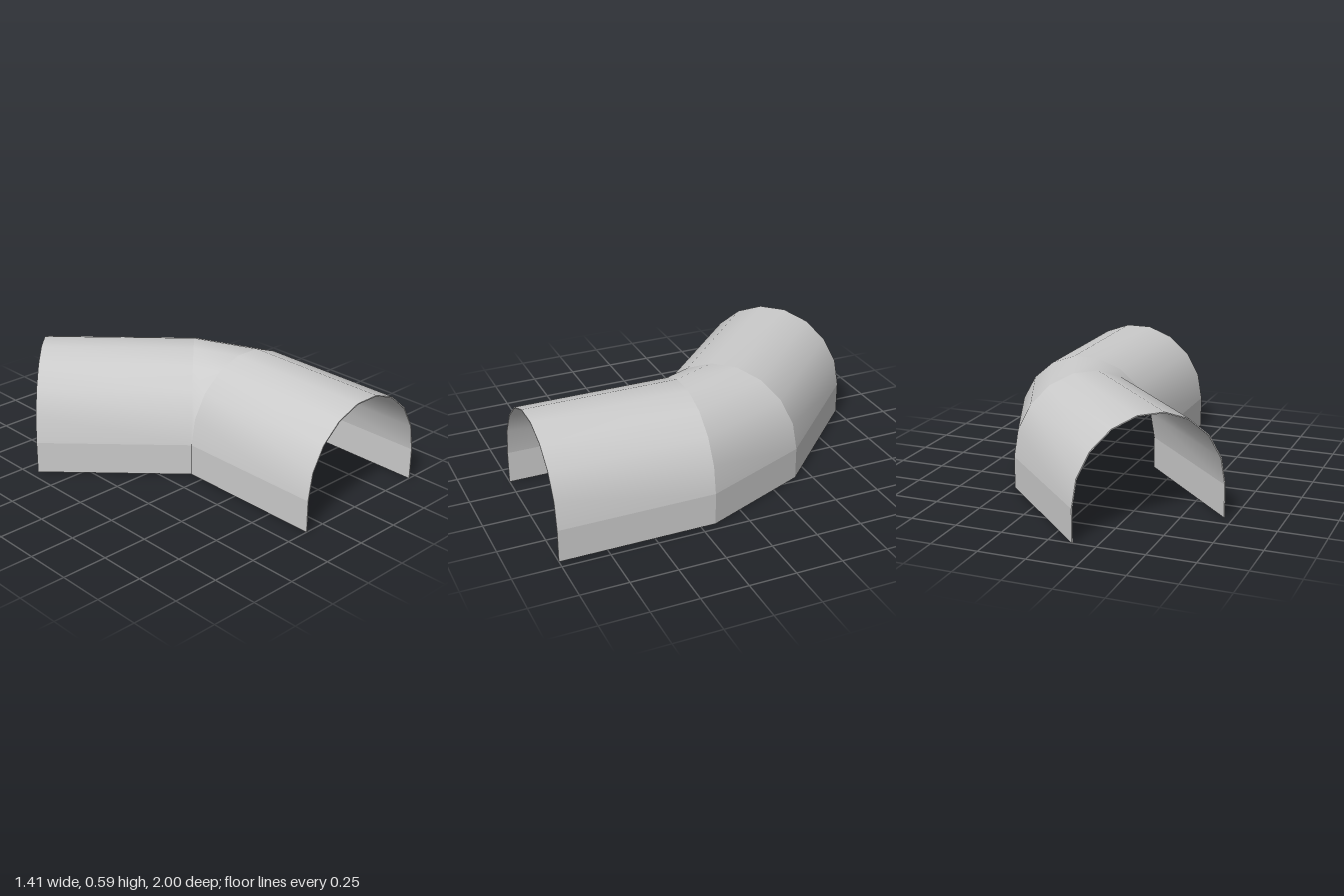
import * as THREE from 'three';
import { mergeGeometries } from 'three/addons/utils/BufferGeometryUtils.js';

const WIDTH = 0.825, HALF = WIDTH / 2, WALL = 0.175, RISE = 0.426, THICK = 0.006;
const PIVOT = [-0.12, 0.17]; // x, z of the inner corner of the bend

// Half-pipe outline split into right wall, nine-sided arch and left wall
function outline(inset) {
  const a = HALF - inset, b = RISE - inset, arch = [];
  for (let i = 0; i <= 9; i++) {
    const t = i * Math.PI / 9;
    arch.push([HALF + a * Math.cos(t), WALL + b * Math.sin(t)]);
  }
  return [
    [[HALF + a, 0], [HALF + a, WALL]],
    arch,
    [[HALF - a, WALL], [HALF - a, 0]],
  ];
}

// A station swings the section about the bend and slides it along the pipe
function station(angle, slide) {
  const c = Math.cos(angle), s = Math.sin(angle);
  return ([u, y]) => [PIVOT[0] + u * c - slide * s, y, PIVOT[1] - u * s - slide * c];
}

// Smooth strip of faces between two rows of points
function strip(rowA, rowB) {
  const n = rowA.length, index = [];
  for (let i = 0; i < n - 1; i++) index.push(i, n + i, i + 1, i + 1, n + i, n + i + 1);
  const g = new THREE.BufferGeometry();
  g.setAttribute('position', new THREE.Float32BufferAttribute([...rowA, ...rowB].flat(), 3));
  g.setIndex(index);
  g.computeVertexNormals();
  return g;
}

// Thin shell between two stations, with a rim where an end is open
function section(name, from, to, rimFrom, rimTo, material) {
  const outer = outline(0), inner = outline(THICK), parts = [];
  outer.forEach((o, k) => {
    const i = inner[k], back = [...i].reverse();
    parts.push(strip(o.map(from), o.map(to)));
    parts.push(strip(back.map(from), back.map(to)));
    if (rimFrom) parts.push(strip(i.map(from), o.map(from)));
    if (rimTo) parts.push(strip(o.map(to), i.map(to)));
  });
  // bottom edges
  const feet = [[inner[0][0], outer[0][0]], [outer[2][1], inner[2][1]]];
  for (const foot of feet) parts.push(strip(foot.map(from), foot.map(to)));
  const mesh = new THREE.Mesh(mergeGeometries(parts), material);
  mesh.name = name;
  return mesh;
}

export function createModel() {
  const group = new THREE.Group();
  group.name = 'bentHalfPipe';
  const material = new THREE.MeshStandardMaterial({ color: 0xcccccc, side: THREE.DoubleSide });
  const bend = Math.PI / 4;
  const front = station(0, -0.83), bendStart = station(0, 0);
  const bendEnd = station(bend, 0), back = station(bend, 0.83);
  group.add(
    section('frontPipe', front, bendStart, true, false, material),
    section('elbow', bendStart, bendEnd, false, false, material),
    section('rearPipe', bendEnd, back, false, true, material),
  );
  return group;
}
